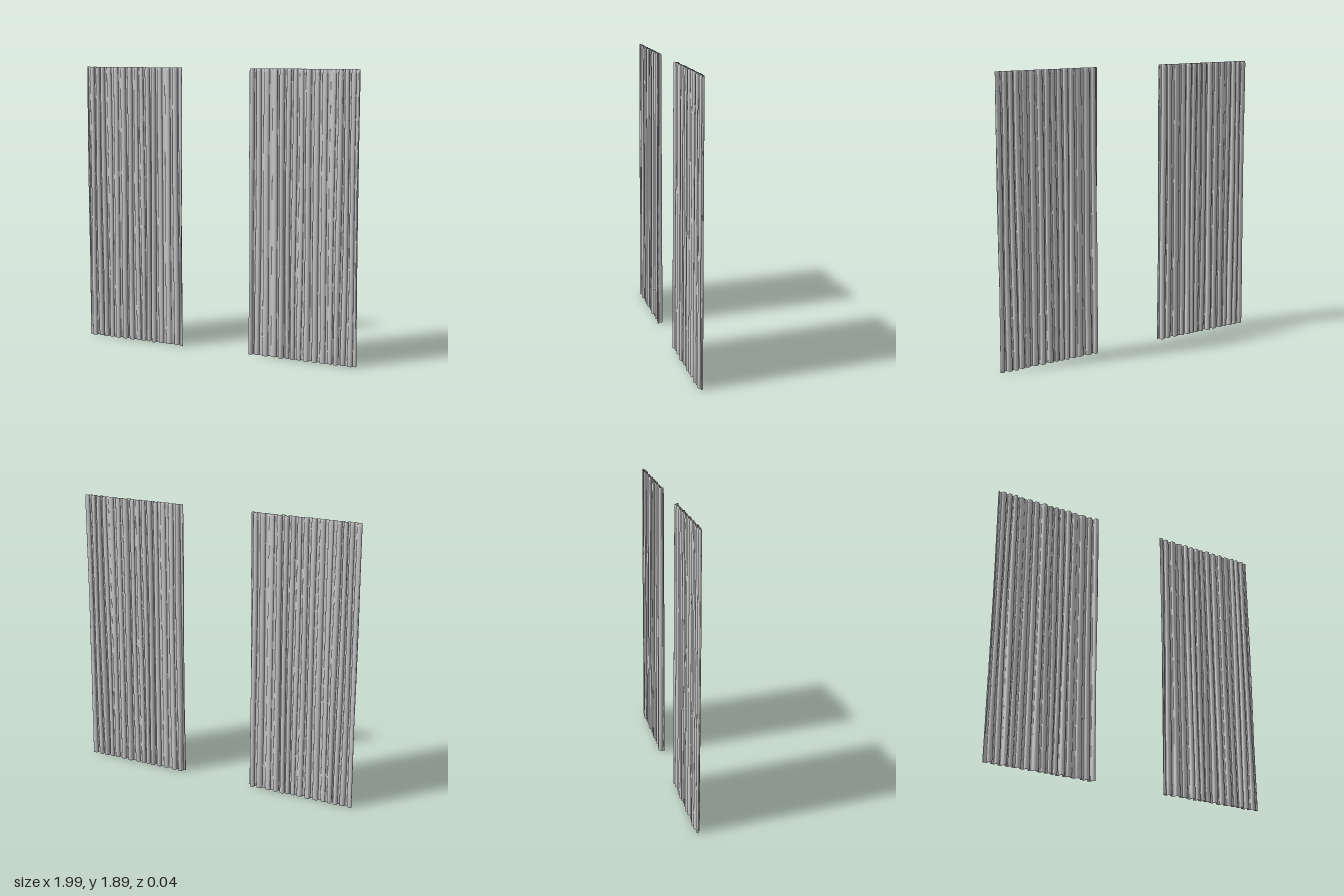
import * as THREE from 'three';

const HEIGHT = 1.89, INNER = 0.253, OUTER = 0.992;
const FOLDS = 15, COLS = 240, ROWS = 16;

// Middle line of the gathered cloth: u runs from inner to outer edge, t from hem to top
function cloth(u, t) {
  const p = Math.PI * 2 * FOLDS * u + 1.1 * Math.sin(13 * u + 1)
    + (1 - t) * 0.7 * Math.sin(17 * u + 3 * t) + 0.25 * Math.sin(31 * u + 5 * t);
  const size = (0.0105 + 0.0035 * (1 - t)) * (0.8 + 0.25 * Math.sin(23 * u + 0.6) );
  const loose = 0.25 + 0.1 * Math.sin(9 * u + 2 * t);
  const x = THREE.MathUtils.lerp(INNER, OUTER, u) - 0.005 * Math.sin(2 * p);
  const z = size * (Math.sin(p) + loose * Math.sin(0.5 * p + 1)) + 0.001;
  return new THREE.Vector2(x, z);
}

// Thin closed shell around the middle line, rounded off at the top edge
function curtainGeometry(side) {
  const heights = [];
  for (let i = 0; i <= ROWS; i++) heights.push((HEIGHT - 0.03) * i / ROWS);
  heights.push(HEIGHT - 0.016, HEIGHT - 0.006, HEIGHT - 0.001, HEIGHT);
  const halves = heights.map(y => {
    const k = Math.max(0, (y - HEIGHT + 0.03) / 0.03);
    return 0.0035 * Math.sqrt(Math.max(0.01, 1 - k * k));
  });

  const position = [], index = [];
  const ring = 2 * (COLS + 1);
  const face = (a, b, c) => index.push(a, ...(side > 0 ? [b, c] : [c, b]));

  heights.forEach((y, row) => {
    const t = y / HEIGHT;
    for (let k = 0; k < ring; k++) {
      const front = k <= COLS;
      const u = (front ? k : ring - 1 - k) / COLS;
      const along = cloth(u + 0.0005, t).sub(cloth(u - 0.0005, t)).normalize();
      const off = (front ? 1 : -1) * halves[row];
      const m = cloth(u, t);
      position.push(side * (m.x - along.y * off), y, m.y + along.x * off);
    }
  });

  // Front, back and side edges
  for (let row = 0; row < heights.length - 1; row++) {
    for (let k = 0; k < ring; k++) {
      const a = row * ring + k, b = row * ring + (k + 1) % ring;
      face(a, b, b + ring);
      face(a, b + ring, a + ring);
    }
  }
  // Hem and top closure
  const top = (heights.length - 1) * ring;
  for (let k = 0; k < COLS; k++) {
    const back = ring - 1 - k;
    face(k, back, back - 1);
    face(k, back - 1, k + 1);
    face(top + k, top + k + 1, top + back - 1);
    face(top + k, top + back - 1, top + back);
  }

  const geometry = new THREE.BufferGeometry();
  geometry.setAttribute('position', new THREE.Float32BufferAttribute(position, 3));
  geometry.setIndex(index);
  geometry.computeVertexNormals();
  return geometry;
}

export function createModel() {
  const group = new THREE.Group();
  group.name = 'curtains';
  const fabric = new THREE.MeshStandardMaterial({ color: 0xcccccc, side: THREE.DoubleSide });
  for (const [name, side] of [['leftCurtain', 1], ['rightCurtain', -1]]) {
    const curtain = new THREE.Mesh(curtainGeometry(side), fabric);
    curtain.name = name;
    group.add(curtain);
  }
  return group;
}
